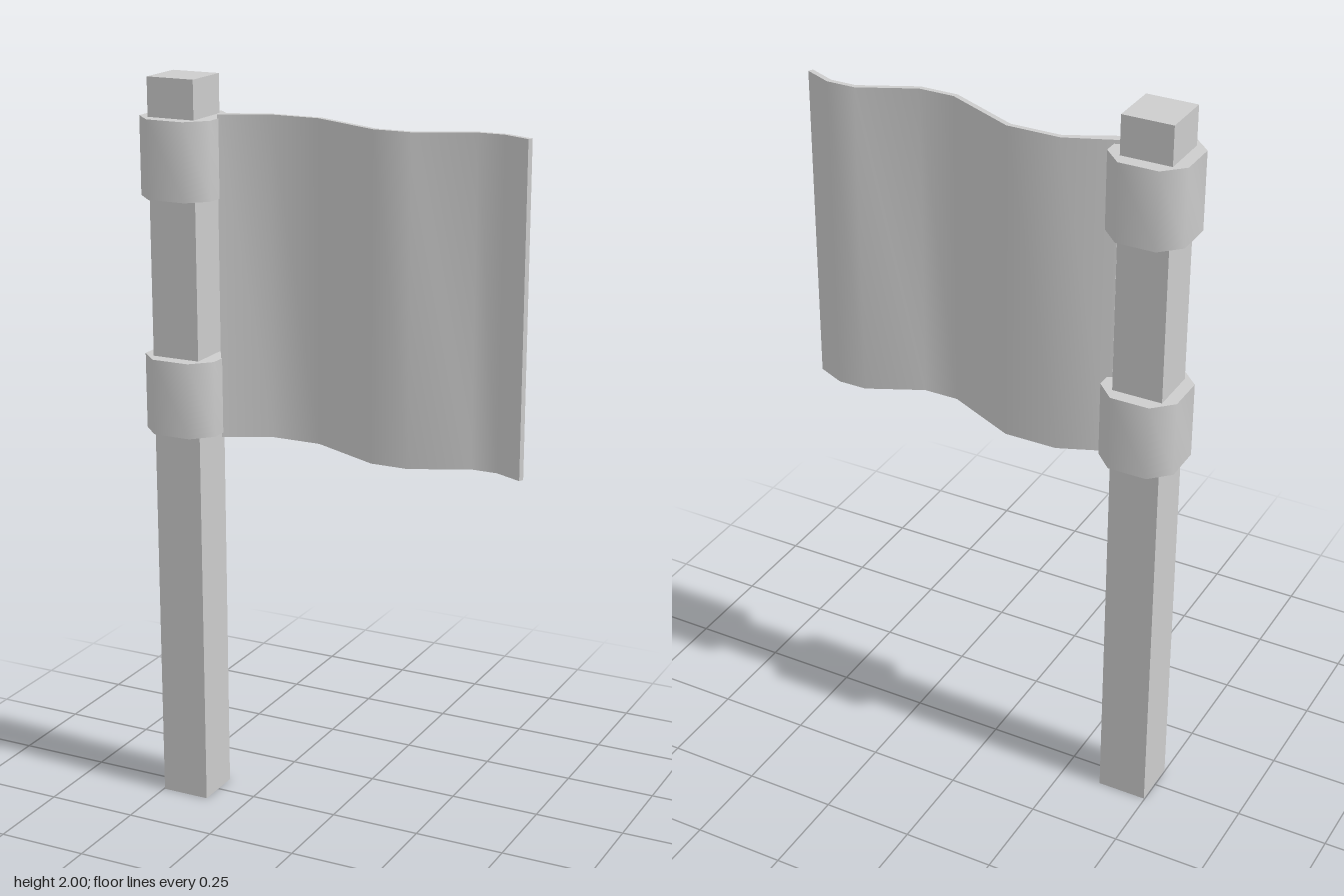
import * as THREE from 'three';
import { toCreasedNormals } from 'three/addons/utils/BufferGeometryUtils.js';

const stone = new THREE.MeshStandardMaterial({ color: 0xcccccc });
stone.name = 'plain grey';

const POLE_X = -0.43;

// Upright prism from an [x, z] outline, smooth over shallow bends, sharp at its rims
function prism(name, outline, bottom, top) {
  const shape = new THREE.Shape(outline.map(([x, z]) => new THREE.Vector2(x, -z)));
  const extruded = new THREE.ExtrudeGeometry(shape, { depth: top - bottom, bevelEnabled: false });
  extruded.rotateX(-Math.PI / 2).translate(0, bottom, 0);
  const mesh = new THREE.Mesh(toCreasedNormals(extruded, 0.9), stone);
  mesh.name = name;
  return mesh;
}

export function createModel() {
  const group = new THREE.Group();
  group.name = 'flagOnPole';

  // Square pole
  const pole = new THREE.Mesh(new THREE.BoxGeometry(0.135, 2, 0.135), stone);
  pole.name = 'pole';
  pole.position.set(POLE_X, 1, 0);
  group.add(pole);

  // Two eight-sided collars
  const r = 0.104, c = 0.053;
  const collar = [[r, -c], [r, c], [c, r], [-c, r], [-r, c], [-r, -c], [-c, -r], [c, -r]]
    .map(([x, z]) => [x + POLE_X + 0.003, z]);
  group.add(prism('upperCollar', collar, 1.69, 1.897));
  group.add(prism('lowerCollar', collar, 1.06, 1.265));

  // Waving cloth: a folded centre line given thickness, ends cut square to the cloth
  const folds = [
    [-0.331, 0.0], [-0.205, -0.057], [-0.065, -0.057], [0.13, 0.035],
    [0.23, 0.035], [0.375, -0.034], [0.45, -0.034], [0.525, 0.0],
  ];
  const side = (s) => folds.map(([x, z], i) => {
    const a = folds[Math.max(i - 1, 0)], b = folds[Math.min(i + 1, folds.length - 1)];
    const dx = b[0] - a[0], dz = b[1] - a[1], t = (s * (i === 0 ? 0.012 : 0.007)) / Math.hypot(dx, dz);
    return [x - dz * t, z + dx * t];
  });
  group.add(prism('flagCloth', [...side(1), ...side(-1).reverse()], 1.047, 1.907));

  return group;
}
